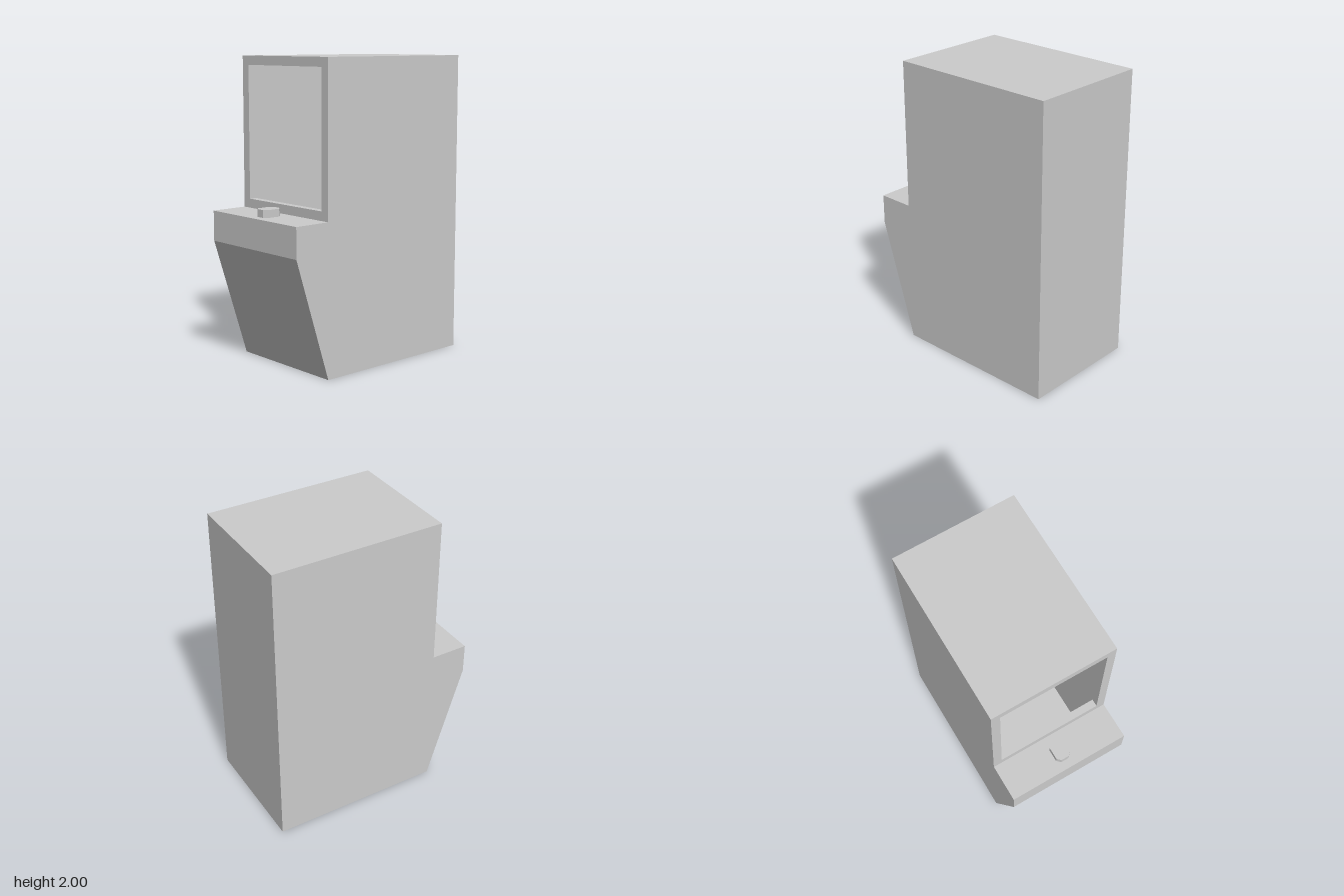
import * as THREE from 'three';

const HALF = 0.42;     // half the cabinet's depth in z
const FACE_X = -0.455; // plane of the screen opening

const toPoints = (pairs) => pairs.map(([x, y]) => new THREE.Vector2(x, y));

// Walls swept in z along the given edges; counterclockwise edges face outward
function sweepWalls(edges, z0, z1) {
  const pos = [];
  for (const [a, b] of edges) {
    pos.push(a.x, a.y, z0, b.x, b.y, z0, b.x, b.y, z1);
    pos.push(a.x, a.y, z0, b.x, b.y, z1, a.x, a.y, z1);
  }
  const geo = new THREE.BufferGeometry();
  geo.setAttribute('position', new THREE.Float32BufferAttribute(pos, 3));
  geo.computeVertexNormals();
  return geo;
}

const loopEdges = (pts) => pts.map((p, i) => [p, pts[(i + 1) % pts.length]]);

export function createModel() {
  const group = new THREE.Group();
  const material = new THREE.MeshStandardMaterial({ color: 0xcccccc, side: THREE.DoubleSide });
  const add = (name, geo, parent = group) => {
    const mesh = new THREE.Mesh(geo, material);
    mesh.name = name;
    parent.add(mesh);
    return mesh;
  };

  // Hollow cabinet: side profile, counterclockwise
  const profile = toPoints([
    [FACE_X, 0], [0.708, 0], [0.708, 2], [FACE_X, 2],
    [FACE_X, 1], [-0.708, 1], [-0.708, 0.8],
  ]);
  const side = new THREE.ShapeGeometry(new THREE.Shape(profile));
  add('frontSide', side).position.z = HALF;
  const backSide = add('backSide', side);
  backSide.position.z = -HALF;
  // Reverse winding so the back panel faces outward
  backSide.geometry = side.clone();
  backSide.geometry.index.array.reverse();
  backSide.geometry.computeVertexNormals();

  // All outer walls but the one holding the screen opening
  const edges = loopEdges(profile).filter((_, i) => i !== 3);
  add('cabinetWalls', sweepWalls(edges, -HALF, HALF));

  // Screen surround: bezel with an open window and a short inward lip
  const surround = new THREE.Group();
  surround.name = 'screenSurround';
  surround.position.x = FACE_X;
  surround.rotation.y = -Math.PI / 2;
  group.add(surround);
  const bezel = new THREE.Shape(toPoints([[-HALF, 1], [HALF, 1], [HALF, 2], [-HALF, 2]]));
  const opening = toPoints([[-0.36, 1.06], [-0.36, 1.94], [0.36, 1.94], [0.36, 1.06]]);
  bezel.holes.push(new THREE.Path(opening));
  add('screenBezel', new THREE.ShapeGeometry(bezel), surround);
  add('screenLip', sweepWalls(loopEdges(opening), -0.05, 0), surround);

  // Chamfered button on the control ledge
  const w = 0.067, d = 0.052, c = 0.024;
  const outline = new THREE.Shape(toPoints([
    [-w + c, -d], [w - c, -d], [w, -d + c], [w, d - c],
    [w - c, d], [-w + c, d], [-w, d - c], [-w, -d + c],
  ]));
  const button = add('button', new THREE.ExtrudeGeometry(outline, { depth: 0.05, bevelEnabled: false }));
  button.rotation.x = -Math.PI / 2;
  button.position.set(-0.583, 1, 0);

  return group;
}
